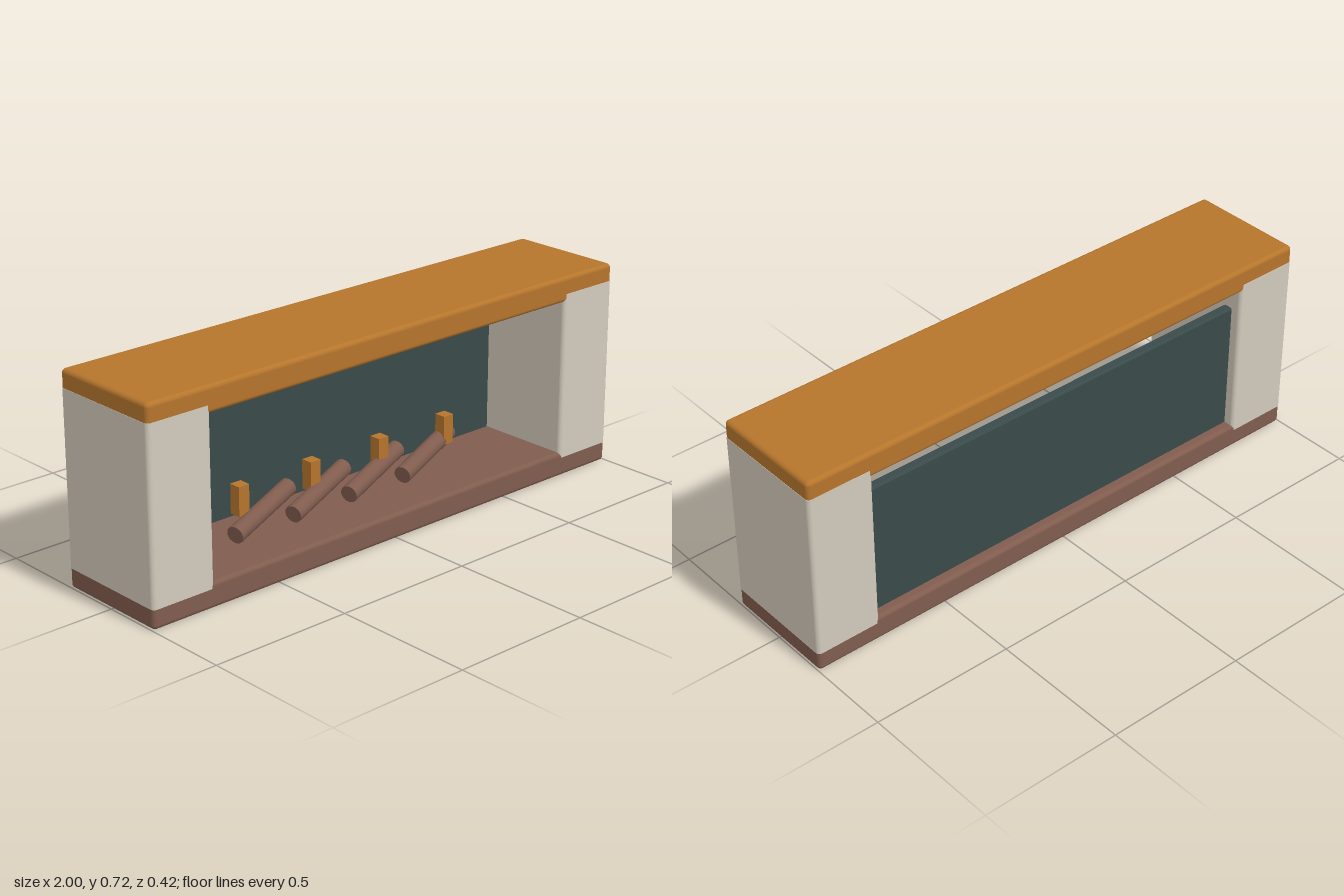
import * as THREE from 'three';
import { RoundedBoxGeometry } from 'three/addons/geometries/RoundedBoxGeometry.js';

function material(name, color) {
  const m = new THREE.MeshStandardMaterial({ color });
  m.name = name;
  return m;
}

// Upright block with rounded vertical edges and flat ends
function pillarGeometry(w, h, d, r) {
  const x = w / 2, y = d / 2, s = new THREE.Shape();
  s.absarc(x - r, y - r, r, 0, Math.PI / 2);
  s.absarc(-x + r, y - r, r, Math.PI / 2, Math.PI);
  s.absarc(-x + r, -y + r, r, Math.PI, Math.PI * 1.5);
  s.absarc(x - r, -y + r, r, Math.PI * 1.5, Math.PI * 2);
  const g = new THREE.ExtrudeGeometry(s, { depth: h, bevelEnabled: false, curveSegments: 5 });
  return g.rotateX(-Math.PI / 2);
}

export function createModel() {
  const group = new THREE.Group();
  const orange = material('orange wood', 0xb5752c);
  const brown = material('brown wood', 0x805c4e);
  const cream = material('cream stone', 0xd2cabc);
  const slate = material('dark slate', 0x3a4a4a);

  const add = (name, geometry, mat, x, y, z) => {
    const mesh = new THREE.Mesh(geometry, mat);
    mesh.name = name;
    mesh.position.set(x, y, z);
    group.add(mesh);
    return mesh;
  };

  // Base and mantel, a hair inside the pillar faces
  add('base', new RoundedBoxGeometry(1.998, 0.088, 0.418, 3, 0.015), brown, 0, 0.044, 0);
  add('mantel', new RoundedBoxGeometry(1.998, 0.09, 0.418, 3, 0.015), orange, 0, 0.676, 0);

  // Side pillars
  const pillar = pillarGeometry(0.236, 0.592, 0.42, 0.015);
  add('leftPillar', pillar, cream, 0.882, 0.068, 0);
  add('rightPillar', pillar, cream, -0.882, 0.068, 0);

  // Back panel, stopping short of the mantel
  add('backPanel', new RoundedBoxGeometry(1.54, 0.485, 0.035, 2, 0.008), slate, 0, 0.3125, -0.155);

  // Slanted logs and the small flames standing behind them
  const log = new THREE.CylinderGeometry(0.03, 0.03, 0.31, 16).rotateZ(-Math.PI / 2);
  const flame = new THREE.BoxGeometry(0.042, 0.102, 0.042);
  for (let i = 0; i < 4; i++) {
    const l = add('log' + (i + 1), log, brown, -0.41 + i * 0.24, 0.157, 0.015);
    l.rotation.set(0, 0.28, 0.18, 'YXZ');
    add('flame' + (i + 1), flame, orange, -0.485 + i * 0.3, 0.213, -0.003);
  }
  return group;
}
